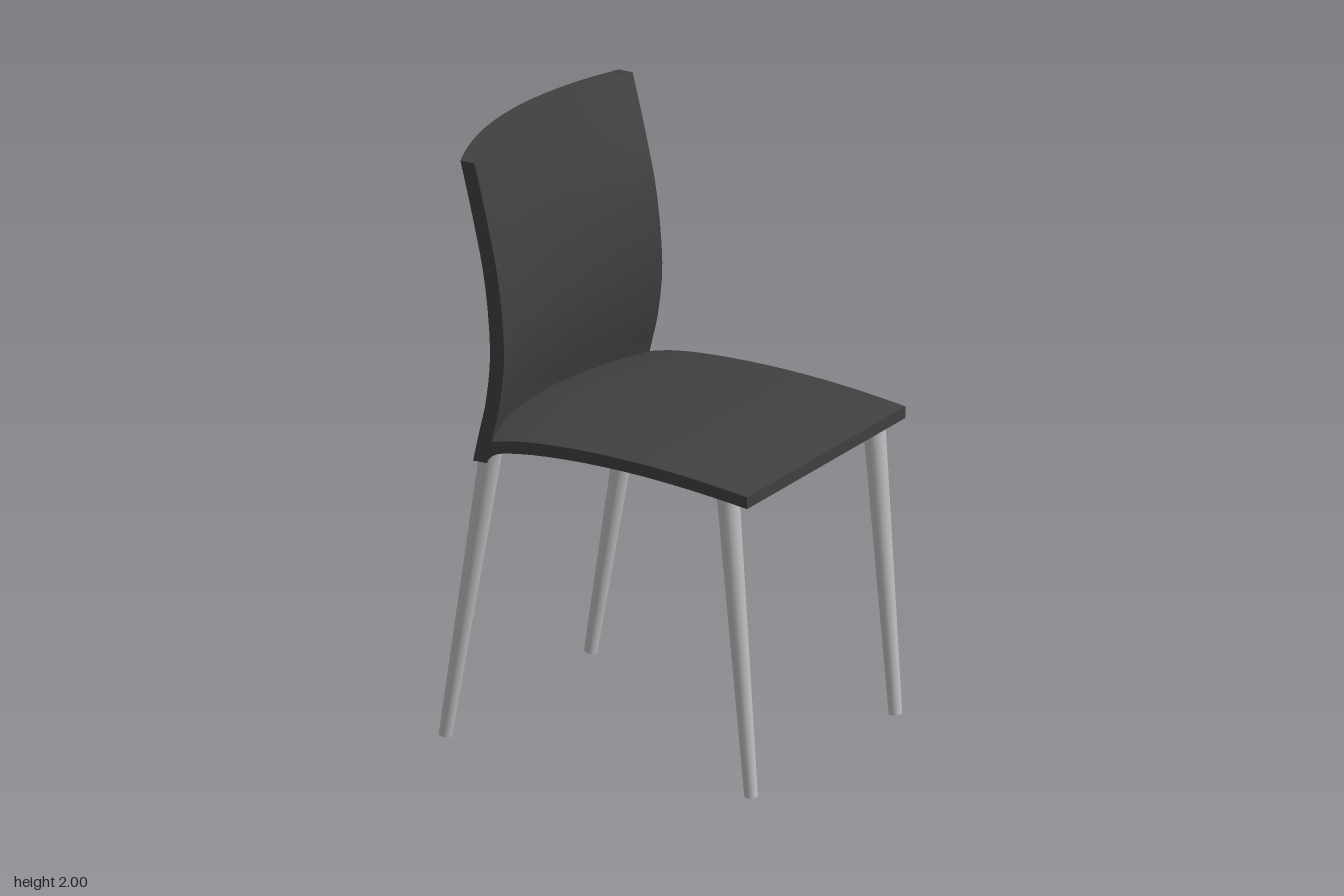
import * as THREE from 'three';
import { toCreasedNormals } from 'three/addons/utils/BufferGeometryUtils.js';

const WIDTH = 1.02;

// Smooth curve through [x, y] points
const curve = (pts, n) =>
  new THREE.SplineCurve(pts.map(([x, y]) => new THREE.Vector2(x, y))).getPoints(n);

// Side profile swept across the chair, bowed backwards by weight(x) in the middle
function bowedPanel(outline, weight) {
  const geo = new THREE.ExtrudeGeometry(new THREE.Shape(outline), {
    depth: WIDTH, steps: 16, bevelEnabled: false,
  });
  geo.translate(0, 0, -WIDTH / 2);
  const p = geo.attributes.position;
  for (let i = 0; i < p.count; i++) {
    const t = p.getZ(i) / (WIDTH / 2);
    p.setX(i, p.getX(i) - 0.107 * (1 - t * t) * weight(p.getX(i)));
  }
  return toCreasedNormals(geo, 0.5);
}

export function createModel() {
  const chair = new THREE.Group();
  chair.name = 'chair';
  const shell = new THREE.MeshStandardMaterial({ color: 0x404040 });
  shell.name = 'charcoal';
  const metal = new THREE.MeshStandardMaterial({ color: 0xc0c0c0 });
  metal.name = 'lightGrey';

  const add = (name, geo, mat) => {
    const mesh = new THREE.Mesh(geo, mat);
    mesh.name = name;
    chair.add(mesh);
    return mesh;
  };

  // Backrest: S-curved profile of even thickness, fully bowed
  const face = curve([[-0.388, 0.985], [-0.367, 1.08], [-0.34, 1.2], [-0.325, 1.37],
    [-0.345, 1.6], [-0.386, 1.8], [-0.435, 2]], 20);
  const rear = face.map((v) => new THREE.Vector2(v.x - 0.052, v.y)).reverse();
  add('backrest', bowedPanel([...face, ...rear], () => 1), shell);

  // Seat: arched slab whose rear edge follows the backrest
  const top = curve([[-0.39, 1.055], [-0.3, 1.075], [-0.18, 1.087], [0, 1.09],
    [0.2, 1.082], [0.4, 1.063], [0.578, 1.038]], 18);
  const under = curve([[0.578, 0.998], [0.4, 1.022], [0.2, 1.041], [0, 1.049],
    [-0.18, 1.045], [-0.3, 1.033], [-0.36, 1.018], [-0.39, 0.99]], 18);
  add('seat', bowedPanel([...under, ...top],
    (x) => THREE.MathUtils.clamp((0.1 - x) / 0.48, 0, 1)), shell);

  // Legs: tapered tubes splayed forwards and backwards
  const up = new THREE.Vector3(0, 1, 0);
  const leg = (name, foot, head) => {
    const a = new THREE.Vector3(...foot), b = new THREE.Vector3(...head);
    const dir = b.clone().sub(a);
    const mesh = add(name, new THREE.CylinderGeometry(0.037, 0.022, dir.length(), 24), metal);
    mesh.position.copy(a).add(b).multiplyScalar(0.5);
    mesh.quaternion.setFromUnitVectors(up, dir.normalize());
  };
  for (const [side, s, rearZ] of [['Left', 1, 0.463], ['Right', -1, 0.473]]) {
    leg(`frontLeg${side}`, [0.567, 0.002, s * 0.465], [0.483, 1.02, s * 0.468]);
    leg(`rearLeg${side}`, [-0.57, 0.012, s * rearZ], [-0.396, 1.02, s * 0.468]);
  }
  return chair;
}
